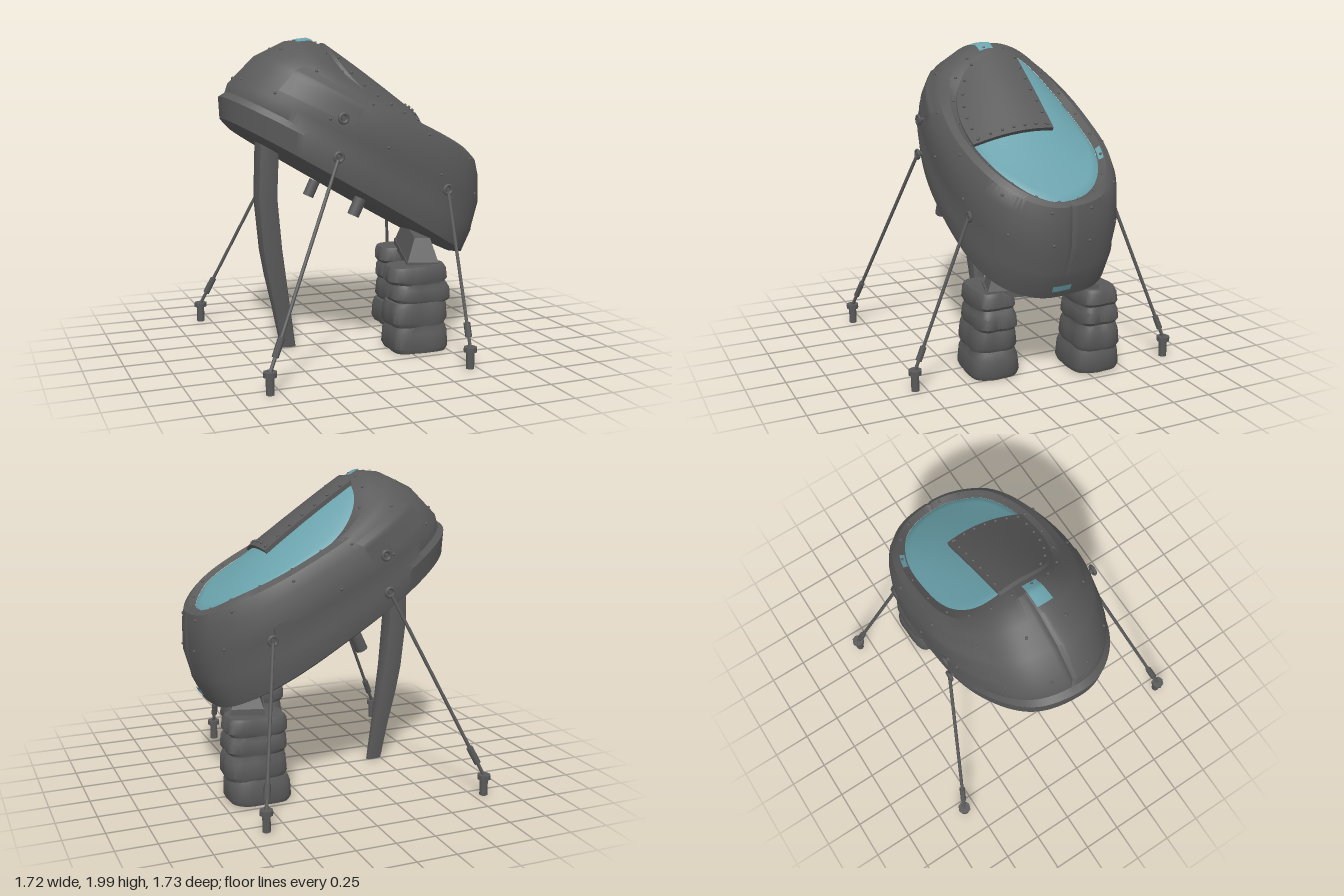
import * as THREE from 'three';
import { toCreasedNormals } from 'three/addons/utils/BufferGeometryUtils.js';

const hullMat = new THREE.MeshStandardMaterial({ color: 0x5a5a5a });
hullMat.name = 'dark grey';
const glassMat = new THREE.MeshStandardMaterial({ color: 0x6aa2ac });
glassMat.name = 'teal';

const V = (x, y, z) => new THREE.Vector3(x, y, z);

// How far the canopy rim sags at its sides, s along and t across, both -1 to 1
const saddle = (s, t) => Math.max(0, 0.09 - 0.12 * s) * t * t;

// A ring is [xa, ya, xb, yb, halfWidth, squareness of the +x half, share of the canopy sag]
function surf(s, r, t) {
  const i = Math.min(Math.floor(r), s.rings.length - 2), f = r - i;
  const [xa, ya, xb, yb, w, n, sag = 0] = s.rings[i].map((v, k) => v + (s.rings[i + 1][k] - v) * f);
  const c = Math.cos(t), d = Math.sin(t), e = c > 0 ? n : (s.back ?? n);
  let q = (Math.abs(c) ** e + Math.abs(d) ** e) ** (-1 / e);
  q *= 1 + (s.lump ?? 0) * (Math.sin(5 * t + 1 + r * (s.twist ?? 0)) + 0.6 * Math.sin(9 * t - r * (s.twist ?? 0)));
  if (s.seam && r > 4 && r < 8.5 && Math.abs(d) < 0.01) q *= 0.985;
  const drop = sag * saddle(c * q, d * q);
  return V((xa + xb) / 2 + (xb - xa) / 2 * c * q - 0.617 * drop,
    (ya + yb) / 2 + (yb - ya) / 2 * c * q - 0.787 * drop, (s.z ?? 0) + w * d * q);
}

function loft(s, segs, crease = 0.6) {
  const pos = [], idx = [], rows = s.rings.length;
  for (let i = 0; i < rows; i++)
    for (let j = 0; j < segs; j++) pos.push(...surf(s, i, j / segs * Math.PI * 2).toArray());
  for (let i = 0; i < rows - 1; i++)
    for (let j = 0; j < segs; j++) {
      const a = i * segs + j, b = i * segs + (j + 1) % segs;
      idx.push(a, a + segs, b, b, a + segs, b + segs);
    }
  const g = new THREE.BufferGeometry();
  g.setAttribute('position', new THREE.Float32BufferAttribute(pos, 3));
  g.setIndex(idx);
  return toCreasedNormals(g, crease);
}

// Moves every vertex by a rule
function warp(g, rule, crease = 0.6) {
  const p = g.attributes.position;
  for (let i = 0; i < p.count; i++) {
    const v = rule(p.getX(i), p.getY(i), p.getZ(i));
    p.setXYZ(i, v.x, v.y, v.z);
  }
  return toCreasedNormals(g, crease);
}

function add(parent, name, geo, mat = hullMat, at) {
  const m = new THREE.Mesh(geo, mat);
  m.name = name;
  if (at) m.position.copy(at);
  parent.add(m);
  return m;
}

function rod(parent, name, a, b, r, sides = 8) {
  const d = b.clone().sub(a);
  const m = add(parent, name, new THREE.CylinderGeometry(r, r, d.length(), sides), hullMat, a.clone().add(b).multiplyScalar(0.5));
  m.quaternion.setFromUnitVectors(V(0, 1, 0), d.normalize());
  return m;
}

export function createModel() {
  const model = new THREE.Group();
  model.name = 'tetheredPod';

  // Pod hull, from belly to canopy rim
  const pod = {
    z: -0.025, back: 2.2, lump: 0.005, seam: true,
    rings: [
      [-0.07, 1.02, -0.07, 1.02, 0, 3, 0],
      [-0.80, 1.45, 0.66, 0.585, 0.45, 2.9, 0],
      [-0.855, 1.51, 0.73, 0.58, 0.5, 2.9, 0],
      [-0.862, 1.645, 0.80, 0.72, 0.522, 2.8, 0],
      [-0.82, 1.67, 0.805, 0.745, 0.512, 2.8, 0],
      [-0.80, 1.725, 0.85, 0.90, 0.53, 2.7, 0],
      [-0.63, 1.89, 0.855, 1.08, 0.52, 2.5, 0.15],
      [-0.44, 1.98, 0.845, 1.16, 0.475, 2.4, 0.6],
      [-0.30, 1.995, 0.82, 1.185, 0.43, 2.3, 0.9],
      [-0.20, 1.94, 0.775, 1.175, 0.385, 2.2, 1],
    ],
  };
  add(model, 'hull', loft(pod, 160));

  // Thin plates that follow the hull
  const lift = (r, t, k) => surf(pod, r, t).sub(V(0, 1.28, -0.025)).multiplyScalar(k).add(V(0, 1.28, -0.025));
  const plate = (name, r0, r1, t0, t1, mat, k) => add(model, name, warp(new THREE.PlaneGeometry(1, 1, 16, 10),
    (x, y) => lift(r0 + (y + 0.5) * (r1 - r0), t1 - (x + 0.5) * (t1 - t0), k)), mat);
  plate('topPaint', 7.3, 8.6, Math.PI - 0.25, Math.PI - 0.02, glassMat, 1.008);
  plate('nosePaint', 2.38, 2.65, -0.07, 0.17, glassMat, 1.01);
  plate('rimPaint', 8.3, 8.98, -1.22, -1.04, glassMat, 1.012);
  for (const s of [1, -1]) {
    const a = s * 1.85, b = s * 2.45;
    plate('sidePanel', 5.3, 6.5, Math.min(a, b), Math.max(a, b), hullMat, 1.012);
  }

  // Hull rivets
  const rivetGeo = new THREE.IcosahedronGeometry(0.01, 1);
  for (const [r, count] of [[5.2, 14], [6.6, 12], [8.4, 20]])
    for (let i = 0; i < count; i++) add(model, 'rivet', rivetGeo, hullMat, surf(pod, r, (i + 0.5) / count * Math.PI * 2));

  // Canopy glass with a riveted repair plate, in its own tilted frame
  const canopy = new THREE.Group();
  canopy.name = 'canopy';
  canopy.position.set(0.2875, 1.5575, -0.025);
  canopy.rotation.z = Math.atan2(-0.765, 0.975);
  model.add(canopy);
  const L = 0.62, W = 0.385;
  const dome = (x, z) => 0.025 * Math.max(0, 1 - (x / L) ** 2 - (z / W) ** 2) - saddle(x / L, z / W);
  const glassRings = [1.03, 1, 0.9, 0.75, 0.6, 0.45, 0.3, 0.15, 0].map(k => {
    const h = k > 1 ? -0.02 : -0.002;
    return [-L * k, h, L * k, h, W * k, 2.2];
  });
  add(canopy, 'glass', warp(loft({ rings: glassRings, lump: 0.005 }, 80), (x, y, z) => V(x, y + dome(x, z), z), 1), glassMat);
  const platePoint = (u, h, v) => {
    const s = -1 + u * 1.14, hi = W * 1.03 * (1 - Math.abs(s) ** 2.2) ** (1 / 2.2), lo = -Math.min(0.115, hi);
    const z = lo + (hi - lo) * v;
    return V(s * L * 1.02, dome(s * L, z) + h, z);
  };
  add(canopy, 'repairPlate', warp(new THREE.BoxGeometry(1, 1, 1, 28, 1, 16),
    (x, y, z) => platePoint((x + 0.5) ** 1.5, y > 0 ? 0.024 : -0.005, z + 0.5)));
  for (let i = 0; i < 7; i++) {
    const u = 0.12 + i * 0.14;
    for (const p of [[u, 0.06], [u, 0.93], [0.95, 0.08 + i * 0.14]])
      add(canopy, 'plateRivet', rivetGeo, hullMat, platePoint(p[0], 0.028, p[1]));
  }

  // Curved rear prop
  add(model, 'prop', loft({
    rings: [
      [-0.445, 0.015, -0.445, 0.015, 0, 4], [-0.495, 0.02, -0.395, 0.015, 0.022, 4],
      [-0.55, 0.3, -0.435, 0.3, 0.04, 4], [-0.595, 0.5, -0.462, 0.5, 0.054, 4], [-0.625, 0.67, -0.485, 0.67, 0.062, 4],
      [-0.655, 1.0, -0.515, 1.0, 0.075, 4], [-0.64, 1.4, -0.5, 1.36, 0.08, 4],
    ],
  }, 16, 0.5));

  // Stacks of lumpy sacks under the nose
  const levels = [0.01, 0.18, 0.335, 0.45, 0.56];
  for (const [cx, cz, top] of [[0.33, 0.285, 0.555], [0.53, -0.325, 0.555]]) {
    const rings = [[cx, 0.01, cx, 0.01, 0, 4]];
    for (let i = 0; i < 4; i++)
      for (const [f, k] of [[0, 0.92], [0.18, 1], [0.75, 0.98], [0.98, 0.91]]) {
        const y = levels[i] + (levels[i + 1] - levels[i]) * f;
        const w = (0.165 - y * 0.075) * k, h = 0.197 * k, slide = 0.01 * Math.sin(i * 2.4 + cx * 9);
        rings.push([cx - h + slide, y, cx + h + slide, y - slide, w, 4]);
      }
    rings.push([cx, top, cx, top, 0, 4]);
    add(model, 'sackStack', loft({ rings, z: cz, lump: 0.02, twist: 0.35 }, 40, 0.7));
  }

  // Plank and tapered block running slantwise from one stack to the other
  const cradle = new THREE.Group();
  cradle.name = 'cradle';
  cradle.position.set(0.47, 0.56, -0.01);
  cradle.rotation.set(0.035, -0.3, 0);
  model.add(cradle);
  add(cradle, 'plank', new THREE.BoxGeometry(0.21, 0.045, 0.7));
  add(cradle, 'block', warp(new THREE.BoxGeometry(1, 1, 1), (x, y, z) =>
    V(x * (y > 0 ? 0.1 : 0.2), y > 0 ? 0.17 : 0.02, z * (y > 0 ? 0.56 : 0.68))));

  // Belly nozzles and an oval hatch disc at the back
  for (const z of [0.4, -0.43]) rod(model, 'nozzle', V(-0.1, 1.03, z), V(-0.15, 0.925, z), 0.038, 10);
  rod(model, 'hatchDisc', V(0.4, 1.13, -0.44), V(0.4, 1.13, -0.54), 0.065, 12).scale.z = 0.75;

  // Eyelets on both sides
  const eyelet = (x, y, z) => {
    const s = Math.sign(z);
    add(model, 'eyelet', new THREE.TorusGeometry(0.027, 0.011, 6, 14), hullMat, V(x, y, z));
    rod(model, 'eyeletPin', V(x, y, z - s * 0.1), V(x, y, z + s * 0.008), 0.014);
  };
  eyelet(-0.25, 1.53, 0.505);
  eyelet(-0.25, 1.53, -0.552);

  // Guy lines: eyelet, rope, turnbuckle and ground stake
  const lines = [
    [V(-0.28, 1.3, 0.505), -0.82, 0.82], [V(0.465, 1.06, 0.465), 0.45, 0.82],
    [V(-0.28, 1.3, -0.55), -0.82, -0.83], [V(0.465, 1.06, -0.515), 0.63, -0.83],
  ];
  for (const [top, x, z] of lines) {
    eyelet(top.x, top.y, top.z);
    const foot = V(x, 0.135, z), at = f => top.clone().lerp(foot, f);
    rod(model, 'rope', at(0.015), foot, 0.011);
    rod(model, 'turnbuckle', at(0.84), at(0.93), 0.021, 6);
    rod(model, 'stake', V(x, 0.01, z), V(x, 0.13, z), 0.026, 8);
    rod(model, 'stakeHead', V(x, 0.115, z), V(x, 0.145, z), 0.042, 8);
  }
  return model;
}
